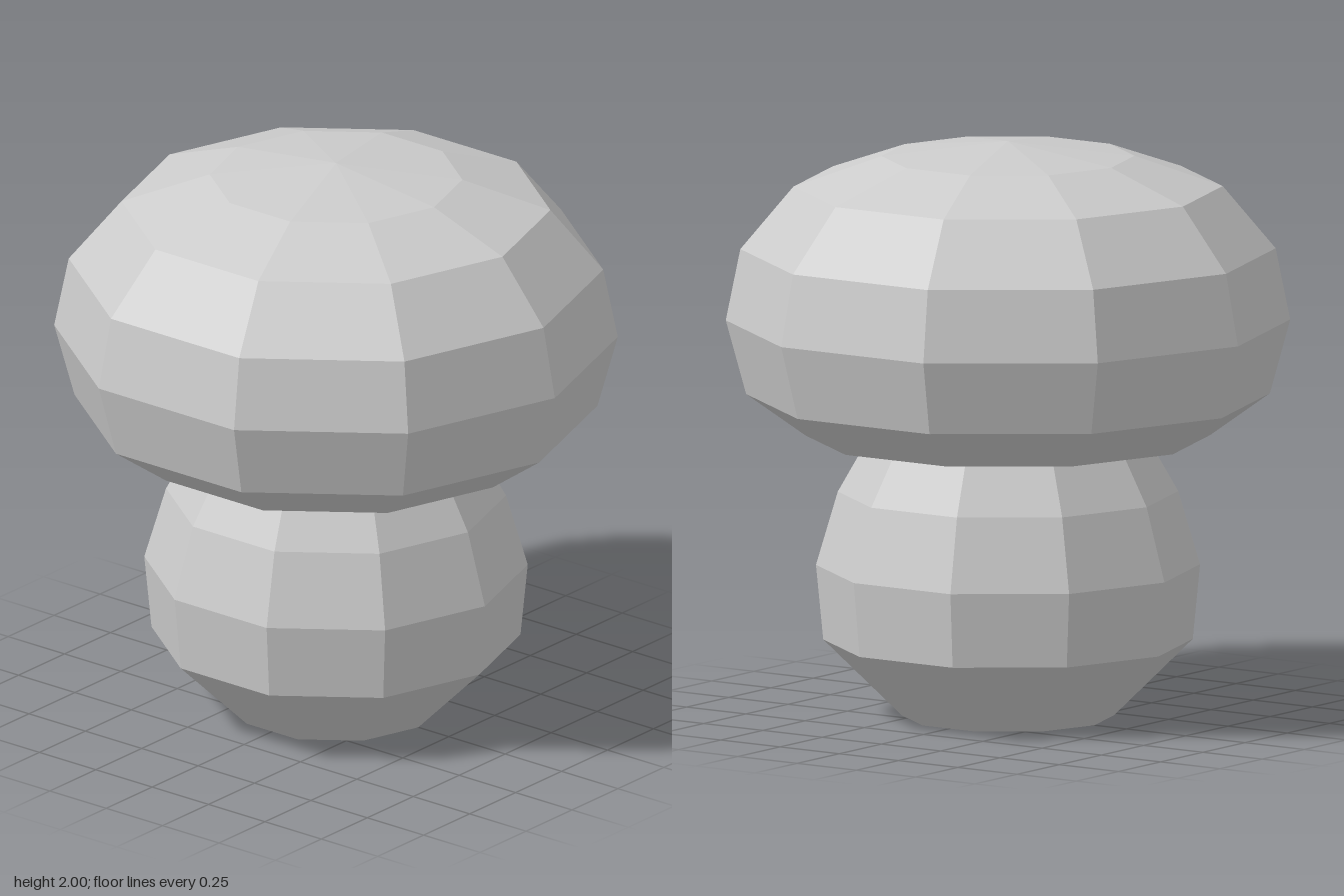
import * as THREE from 'three';

const SIDES = 10;

// Faceted ring-by-ring solid from [radius, height] pairs, bottom to top
function turned(name, profile) {
  const points = profile.map(([r, y]) => new THREE.Vector2(r, y));
  const geometry = new THREE.LatheGeometry(points, SIDES, Math.PI / 2);
  const material = new THREE.MeshStandardMaterial({ color: 0xcccccc, flatShading: true });
  const mesh = new THREE.Mesh(geometry, material);
  mesh.name = name;
  return mesh;
}

export function createModel() {
  const group = new THREE.Group();
  group.name = 'mushroom';

  // Bulbous stem with a flat base, narrowing up to the cap
  group.add(turned('stem', [
    [0, 0], [0.365, 0], [0.635, 0.265], [0.66, 0.525], [0.585, 0.78], [0.48, 0.965],
  ]));

  // Rounded cap: underside from the stem's neck, rim, then the dome
  group.add(turned('cap', [
    [0.48, 0.965], [0.695, 0.975], [0.9, 1.12], [0.97, 1.377],
    [0.92, 1.625], [0.738, 1.842], [0.435, 1.948], [0, 2],
  ]));

  return group;
}
